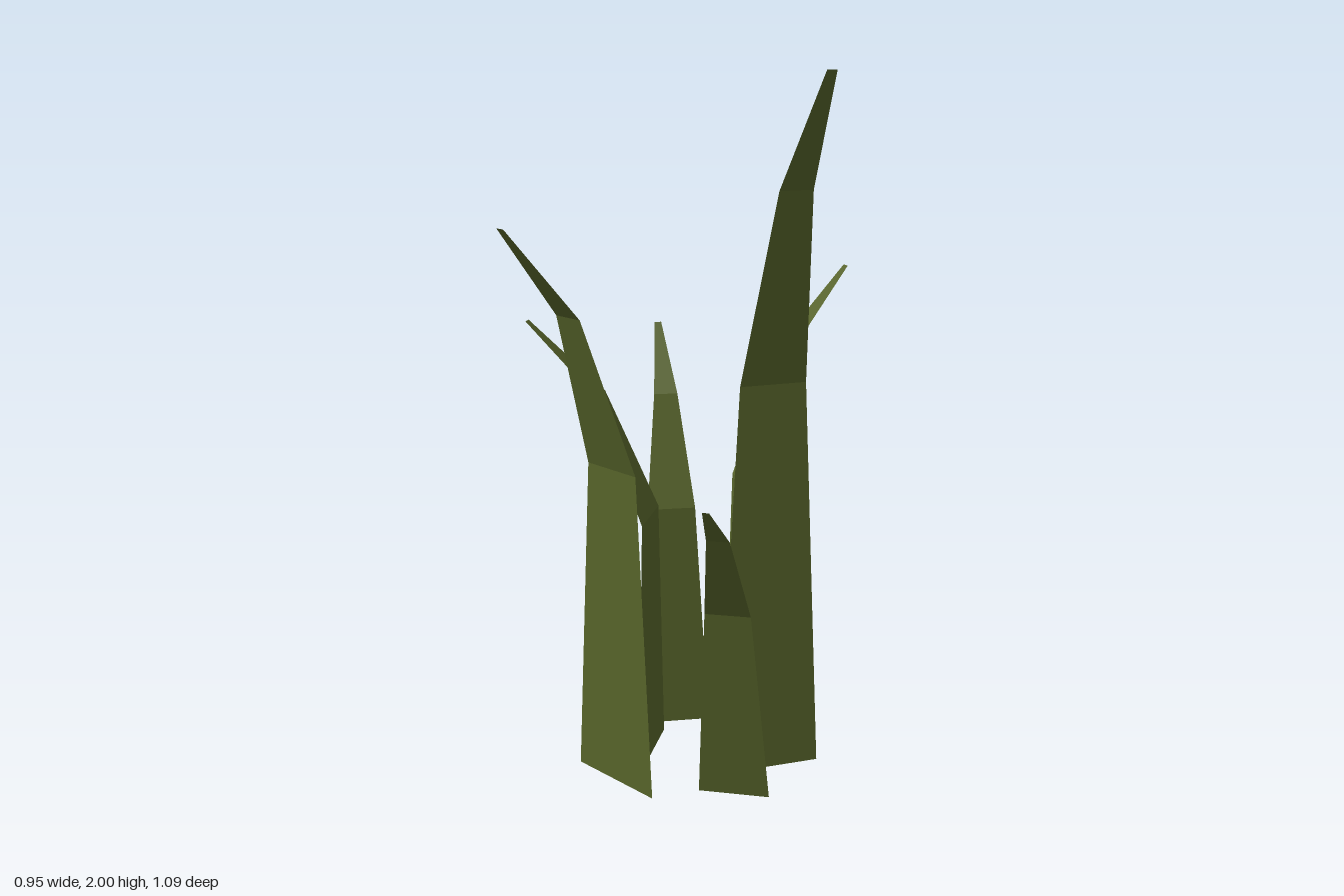
import * as THREE from 'three';

// Blade profile from tip to root: [height fraction, outward bend, half width]
const PROFILE = [
  [1, 0.352, 0.0135],
  [0.845, 0.142, 0.047],
  [0.574, 0, 0.096],
  [0, 0, 0.154],
];

// Flat grass blade: vertical below, bending towards local +z above
function bladeGeometry(height, scale) {
  const plane = new THREE.PlaneGeometry(2, 1, 1, 3);
  const p = plane.attributes.position;
  for (let i = 0; i < p.count; i++) {
    const [h, bend, half] = PROFILE[Math.floor(i / 2)];
    p.setXYZ(i, Math.sign(p.getX(i)) * half * scale, h * height, bend * scale);
  }
  const g = plane.toNonIndexed();
  g.computeVertexNormals();
  return g;
}

export function createModel() {
  const group = new THREE.Group();
  group.name = 'grassTuft';
  const material = new THREE.MeshStandardMaterial({
    color: 0x56632a, flatShading: true, side: THREE.DoubleSide,
  });

  // Each blade: root x, root z, heading, height, width scale, lean
  const blades = [
    ['frontBlade', -0.096, 0.19, 0, 1.62, 1, 0],
    ['rightBlade', -0.148, 0, -0.993, 1.29, 1, 0],
    ['backRightBlade', -0.258, -0.187, -2.178, 1.205, 0.745, 0],
    ['backBlade', -0.015, -0.249, 2.79, 1.425, 0.885, 0],
    ['shortLeaningBlade', 0.1975, 0.006, 0.599, 1.046, 0.65, 0.204],
    ['tallBlade', 0.153, -0.18, 1.119, 2, 1, 0],
  ];
  for (const [name, x, z, heading, height, scale, lean] of blades) {
    const blade = new THREE.Mesh(bladeGeometry(height, scale), material);
    blade.name = name;
    blade.position.set(x, 0, z);
    blade.rotation.set(lean, heading, 0, 'YXZ');
    group.add(blade);
  }
  return group;
}
